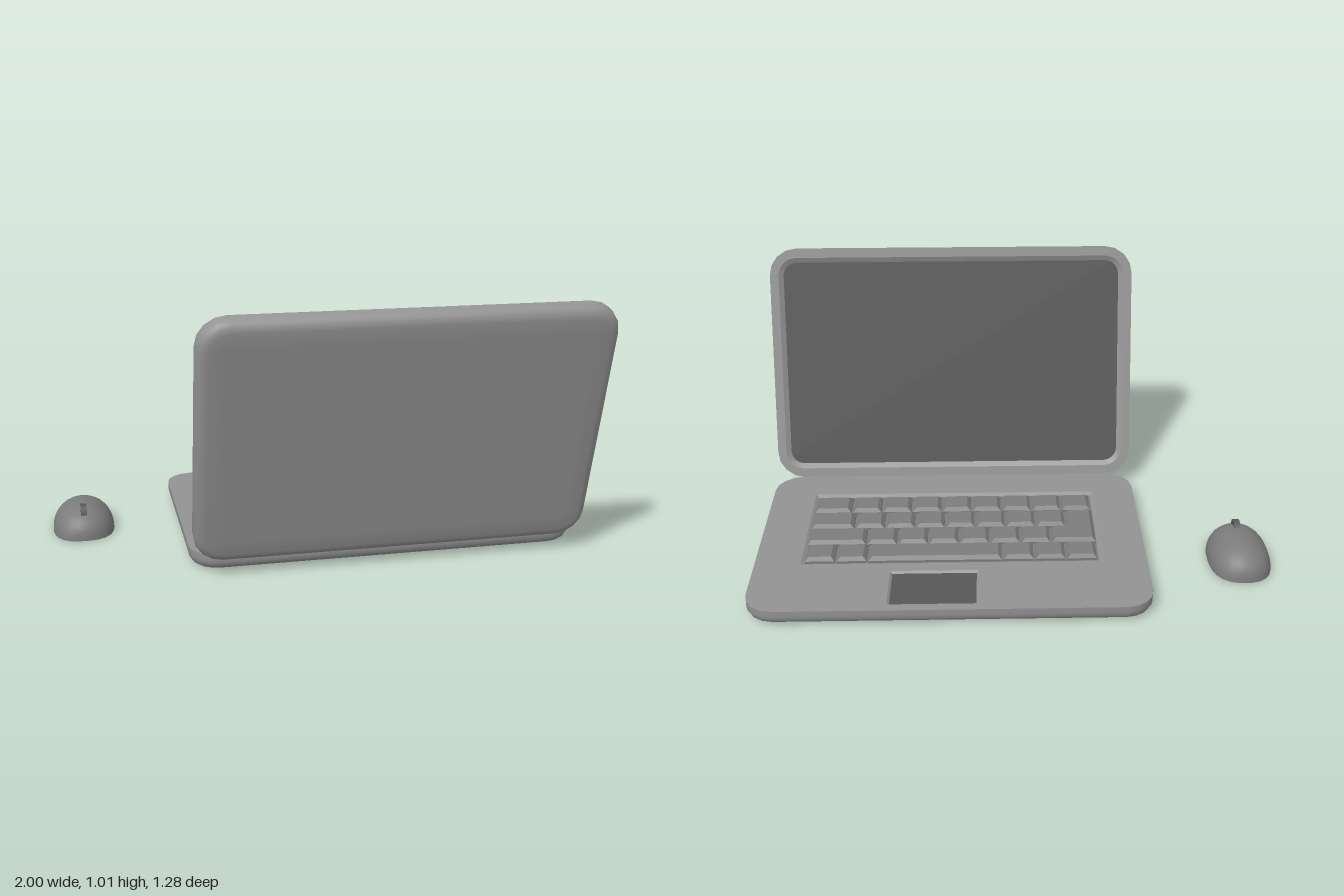
import * as THREE from 'three';
import { toCreasedNormals } from 'three/addons/utils/BufferGeometryUtils.js';

const material = color => new THREE.MeshStandardMaterial({ color, side: THREE.DoubleSide });
const caseGrey = material(0x939393);
const keyGrey = material(0x7c7c7c);
const dark = material(0x575757);

// Plan outlines are counter-clockwise from above, with plan y = -z
const rect = (x0, x1, z0, z1) =>
  [[x0, -z1], [x1, -z1], [x1, -z0], [x0, -z0]].map(([x, y]) => new THREE.Vector2(x, y));

function roundedRect(cx, w, d, r, inset = 0, steps = 4) {
  const hw = w / 2 - r, hd = d / 2 - r, pts = [];
  [[1, -1], [1, 1], [-1, 1], [-1, -1]].forEach(([sx, sy], c) => {
    for (let i = 0; i <= steps; i++) {
      const a = (c - 1 + i / steps) * Math.PI / 2;
      pts.push(new THREE.Vector2(cx + sx * hw + (r - inset) * Math.cos(a), sy * hd + (r - inset) * Math.sin(a)));
    }
  });
  return pts;
}

// Shrinks an outline made of axis-aligned edges
function shrink(pts, d) {
  return pts.map((p, i) => {
    const a = p.clone().sub(pts[(i + pts.length - 1) % pts.length]).normalize();
    const b = pts[(i + 1) % pts.length].clone().sub(p).normalize();
    return new THREE.Vector2(p.x - d * (a.y + b.y), p.y + d * (a.x + b.x));
  });
}

// Walls through a series of [outline, height] rings
function walls(rings) {
  const n = rings[0][0].length, pos = [], index = [];
  rings.forEach(([pts, h]) => pts.forEach(p => pos.push(p.x, h, -p.y)));
  for (let k = 0; k < rings.length - 1; k++) {
    for (let i = 0; i < n; i++) {
      const a = k * n + i, b = k * n + (i + 1) % n;
      index.push(a, b, b + n, a, b + n, a + n);
    }
  }
  const g = new THREE.BufferGeometry();
  g.setAttribute('position', new THREE.Float32BufferAttribute(pos, 3));
  g.setIndex(index);
  return toCreasedNormals(g, 0.75);
}

// Flat horizontal face with optional holes
function plate(pts, h, holes = []) {
  const shape = new THREE.Shape(pts);
  holes.forEach(hole => shape.holes.push(new THREE.Path(hole)));
  return new THREE.ShapeGeometry(shape).rotateX(-Math.PI / 2).translate(0, h, 0);
}

function add(parent, name, geometry, mat = caseGrey) {
  const mesh = new THREE.Mesh(geometry, mat);
  mesh.name = name;
  parent.add(mesh);
  return mesh;
}

const W = 1.506, CX = 0.247, T = 0.065, R = 0.11;
const PROFILE = [[0.04, 0], [0.024, 0.004], [0.01, 0.014], [0.002, 0.028], [0, 0.042], [0, T]];
const shell = (cx, d, profile) => walls(profile.map(([inset, h]) => [roundedRect(cx, W, d, R, inset), h]));

// Outlines of all keys, row by row from the hinge side
function keyOutlines() {
  const keys = [], gap = 0.009;
  const row = (x, z0, widths) => widths.forEach(w => {
    keys.push(rect(x, x + w - gap, z0, z0 + 0.113));
    x += w;
  });
  const u = 0.1225;
  row(-0.315, 0.042, [...Array(8).fill(u), 0.156]);
  row(-0.204, -0.08, [...Array(7).fill(0.121), 0.179]);
  row(-0.14, -0.198, [...Array(6).fill(0.121), 0.237]);
  row(-0.315, -0.316, [u, u, u, 0.521, u, u]);
  // L-shaped key
  keys.push([[-0.32, -0.033], [-0.213, -0.033], [-0.213, 0.085], [-0.149, 0.085], [-0.149, 0.198], [-0.32, 0.198]]
    .map(([x, y]) => new THREE.Vector2(x, y)));
  return keys;
}

function buildBase() {
  const base = new THREE.Group();
  base.name = 'base';
  const tray = rect(-0.338, 0.824, -0.335, 0.188), pad = rect(0.14, 0.478, -0.603, -0.388);
  add(base, 'baseShell', shell(CX, 0.98, PROFILE)).position.z = -0.15;

  // Top deck with openings for tray and touchpad
  const outline = roundedRect(CX, W, 0.98, R).map(p => new THREE.Vector2(p.x, p.y + 0.15));
  add(base, 'topDeck', plate(outline, T, [tray, pad]));

  const floor = 0.055, trayFloor = shrink(tray, 0.015), keys = keyOutlines();
  add(base, 'keyboardTrayWall', walls([[tray, T], [trayFloor, floor]]));
  add(base, 'keyboardTrayFloor', plate(trayFloor, floor, keys), keyGrey);

  const padFloor = shrink(pad, 0.009);
  add(base, 'touchpadRim', walls([[pad, T], [padFloor, 0.058]]));
  add(base, 'touchpad', plate(padFloor, 0.058), dark);

  // Keys with bevelled tops
  const keyboard = new THREE.Group();
  keyboard.name = 'keyboard';
  keys.forEach(k => {
    const top = shrink(k, 0.014);
    add(keyboard, 'keyBottom', plate(k, floor), keyGrey);
    add(keyboard, 'keySides', walls([[k, floor], [k, 0.064], [top, 0.077]]), keyGrey);
    add(keyboard, 'keyTop', plate(top, 0.077), keyGrey);
  });
  base.add(keyboard);
  return base;
}

// Lid is built lying flat, screen up, then tilted upright
function buildLid() {
  const lid = new THREE.Group(), D = 0.975;
  lid.name = 'lid';
  add(lid, 'lidShell', shell(0, D, [[0.1, 0], ...PROFILE]));
  add(lid, 'lidBack', plate(roundedRect(0, W, D, R, 0.1), 0));
  const opening = roundedRect(0, W - 0.07, D - 0.075, 0.075);
  const inner = roundedRect(0, W - 0.07, D - 0.075, 0.075, 0.02);
  add(lid, 'screenBezel', plate(roundedRect(0, W, D, R), T, [opening]));
  add(lid, 'screenRim', walls([[opening, T], [inner, T - 0.012]]));
  add(lid, 'screen', plate(inner, T - 0.012), dark);
  lid.rotation.x = -1.312;
  lid.position.set(CX, 0.522, 0.524);
  return lid;
}

function buildMouse() {
  const mouse = new THREE.Group();
  mouse.name = 'mouse';
  // Hollow dome, squarer lengthwise
  const g = new THREE.SphereGeometry(1, 28, 10, 0, Math.PI * 2, 0, Math.PI / 2);
  const p = g.attributes.position, n = 2.6;
  for (let i = 0; i < p.count; i++) {
    const x = p.getX(i), y = p.getY(i), z = p.getZ(i);
    const s = Math.pow(Math.pow(Math.hypot(x, y), n) + Math.pow(Math.abs(z), n), -1 / n);
    p.setXYZ(i, 0.121 * x * s, 0.112 * y * s, 0.168 * z * s);
  }
  g.computeVertexNormals();
  add(mouse, 'mouseBody', g, keyGrey);
  const wheel = add(mouse, 'scrollWheel', new THREE.CylinderGeometry(0.037, 0.037, 0.024, 16).rotateZ(Math.PI / 2), dark);
  wheel.position.set(0, 0.088, 0.084);
  mouse.position.set(-0.879, 0, -0.237);
  return mouse;
}

export function createModel() {
  const model = new THREE.Group();
  model.name = 'laptopWithMouse';
  model.add(buildBase(), buildLid(), buildMouse());
  return model;
}
